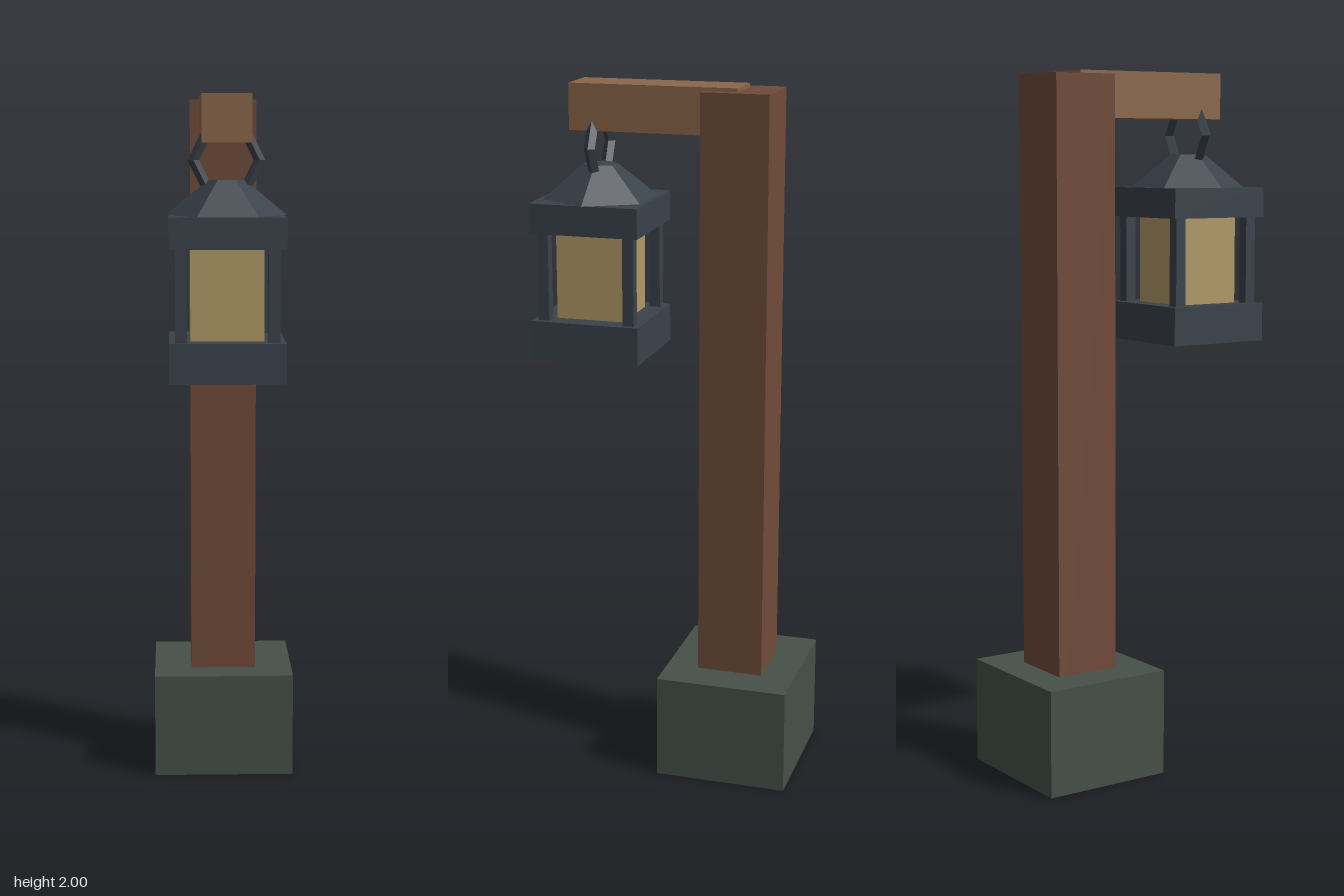
import * as THREE from 'three';

const material = (color) => new THREE.MeshStandardMaterial({ color, flatShading: true });

export function createModel() {
  const model = new THREE.Group();
  model.name = 'lanternPost';
  const stone = material(0x465048);
  const darkWood = material(0x704b39);
  const lightWood = material(0x8b674a);
  const metal = material(0x3a424b);
  const glass = material(0xb39a67);

  const add = (parent, name, geometry, mat, x, y, z) => {
    const mesh = new THREE.Mesh(geometry, mat);
    mesh.name = name;
    mesh.position.set(x, y, z);
    parent.add(mesh);
    return mesh;
  };
  // Box standing on height y0 and reaching y1
  const addBox = (parent, name, mat, w, d, y0, y1, x = 0, z = 0) =>
    add(parent, name, new THREE.BoxGeometry(w, y1 - y0, d), mat, x, (y0 + y1) / 2, z);

  // Stone foot, upright post and overhanging arm
  addBox(model, 'base', stone, 0.41, 0.383, 0, 0.305, 0, -0.1925);
  addBox(model, 'post', darkWood, 0.192, 0.192, 0.002, 1.99, 0, -0.191);
  addBox(model, 'arm', lightWood, 0.136, 0.482, 1.87, 2, 0, 0.05);

  // Hanging lantern
  const lantern = new THREE.Group();
  lantern.name = 'lantern';
  lantern.position.z = 0.2245;
  model.add(lantern);
  addBox(lantern, 'lanternFloor', metal, 0.316, 0.316, 1.23, 1.34);
  addBox(lantern, 'lanternTop', metal, 0.316, 0.316, 1.59, 1.675);
  addBox(lantern, 'glass', glass, 0.2, 0.198, 1.335, 1.595);
  for (const x of [-0.125, 0.125])
    for (const z of [-0.125, 0.125])
      addBox(lantern, 'cornerBar', metal, 0.032, 0.032, 1.335, 1.595, x, z);

  // Six-sided roof with corners to the left and right
  const roof = new THREE.CylinderGeometry(0.05, 0.165, 0.095, 6).rotateY(Math.PI / 6);
  add(lantern, 'roof', roof, metal, 0, 1.7225, 0);

  // Angular ring linking roof and arm
  const ring = add(lantern, 'hangingRing', new THREE.TorusGeometry(0.09, 0.016, 4, 6), metal, 0, 1.823, 0);
  ring.scale.y = 1.15;

  return model;
}
